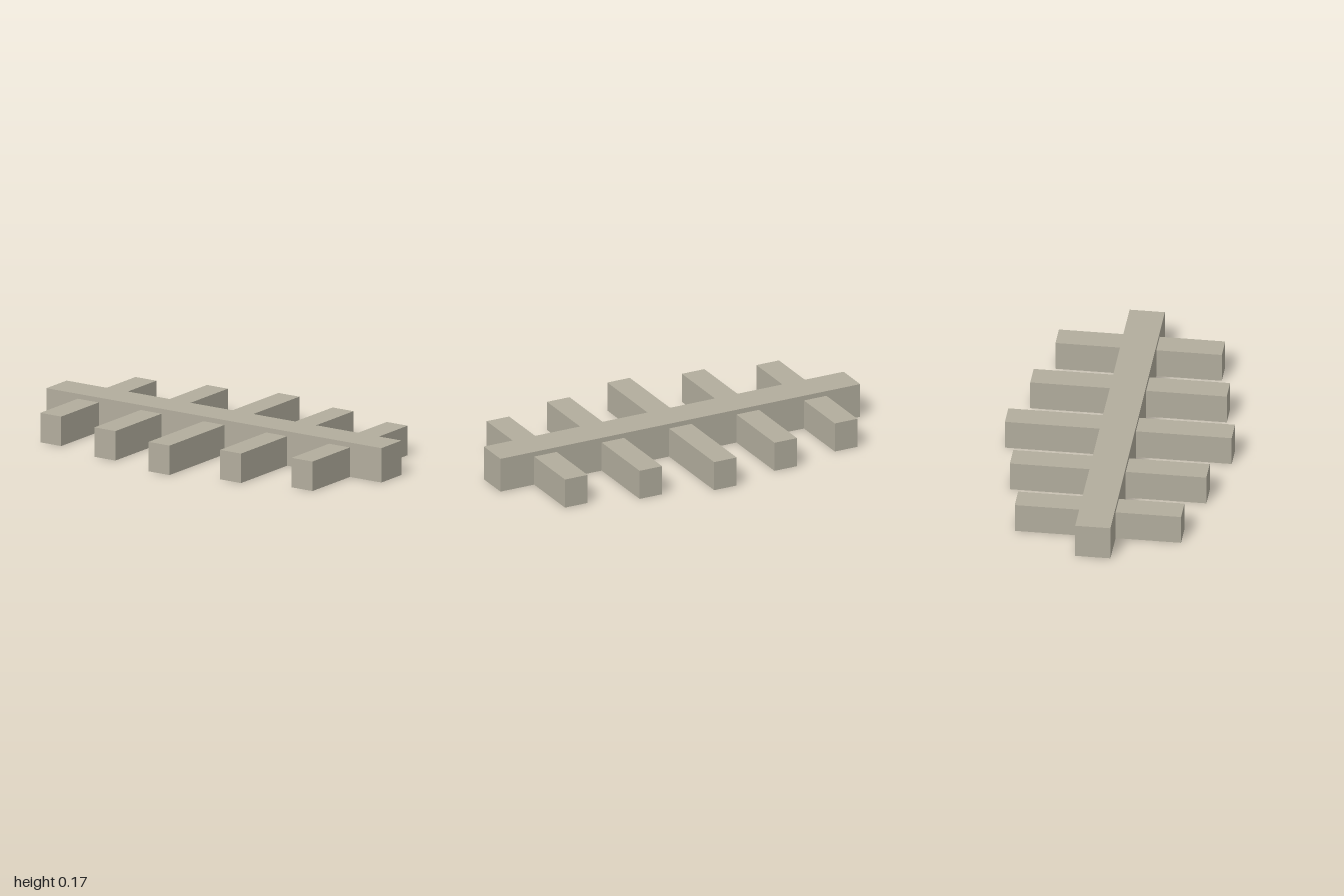
import * as THREE from 'three';

const stone = new THREE.MeshStandardMaterial({ color: 0xb2ad9d, side: THREE.DoubleSide });
stone.name = 'warmGrey';

// Box standing on y = 0, hollow and open underneath
function openBox(name, width, height, depth, x) {
  const geometry = new THREE.BoxGeometry(width, height, depth);
  const index = Array.from(geometry.index.array);
  index.splice(18, 6); // drop the bottom face
  geometry.setIndex(index);
  geometry.clearGroups();
  geometry.translate(0, height / 2, 0);
  const mesh = new THREE.Mesh(geometry, stone);
  mesh.name = name;
  mesh.position.x = x;
  return mesh;
}

export function createModel() {
  const group = new THREE.Group();
  group.name = 'crossedBeams';

  // Long main beam
  group.add(openBox('mainBeam', 2, 0.175, 0.175, 0));

  // Five cross bars, shorter towards the ends
  for (let i = -2; i <= 2; i++) {
    const length = 1.125 - 0.15 * Math.abs(i);
    group.add(openBox(`crossBar${i + 3}`, 0.125, 0.15, length, i * 0.375));
  }
  return group;
}
